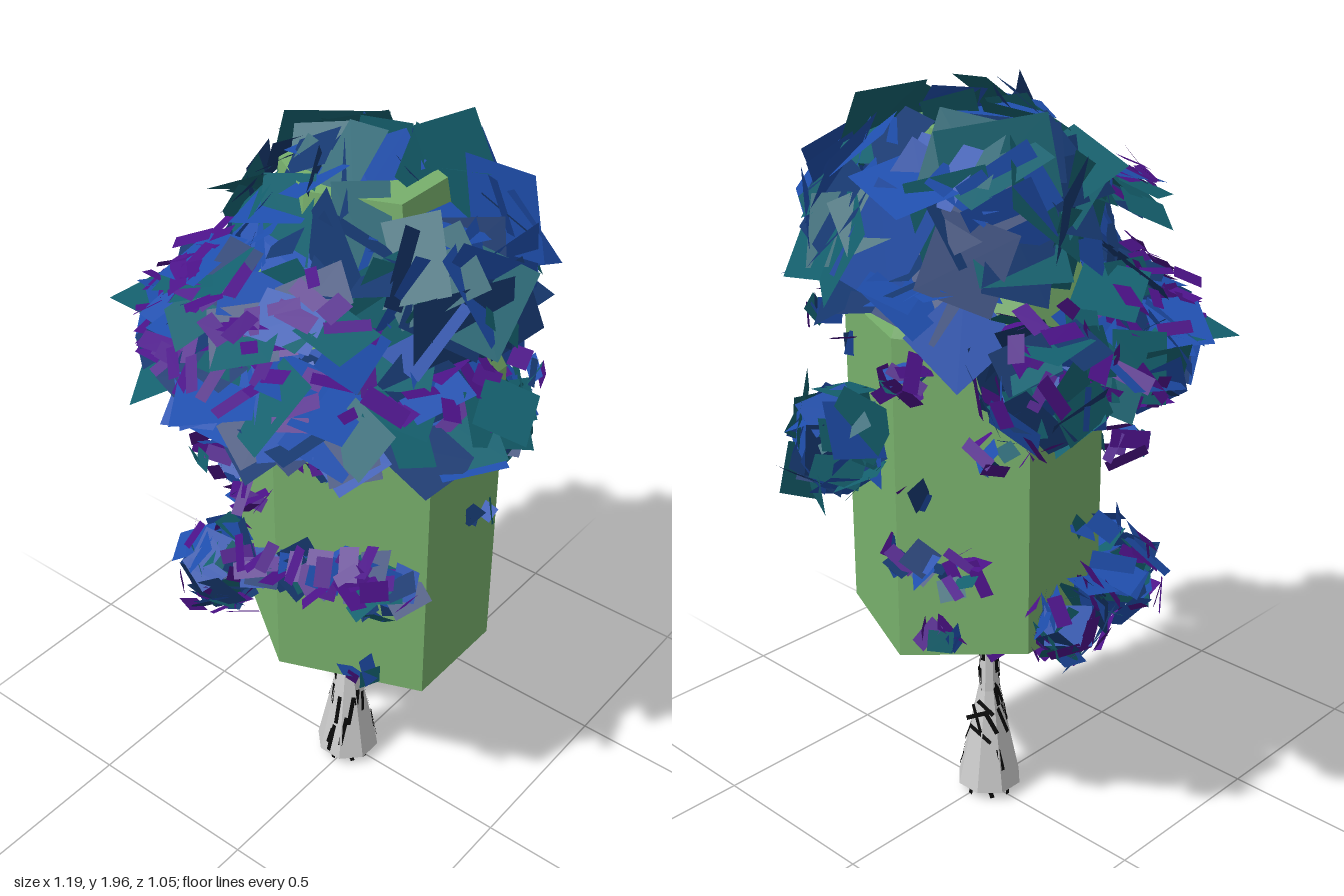
import * as THREE from 'three';
import { mergeGeometries } from 'three/addons/utils/BufferGeometryUtils.js';

const material = (color, side = THREE.FrontSide) =>
  new THREE.MeshStandardMaterial({ color, side, flatShading: true });
const foliage = {
  blue: material(0x1f4fae, THREE.DoubleSide),
  teal: material(0x14606e, THREE.DoubleSide),
  navy: material(0x16386f, THREE.DoubleSide),
  purple: material(0x4c1288, THREE.DoubleSide),
};
const V = (x, y, z) => new THREE.Vector3(x, y, z);

// Small seeded generator
let seed = 7;
const rnd = (a = 0, b = 1) => {
  seed = (seed * 16807) % 2147483647;
  return a + (b - a) * (seed / 2147483647);
};
const jitter = (r) => V(rnd(-r, r), rnd(-r, r), rnd(-r, r));

// Flat-shaded solid skinned over rings of corners, closed at both ends
function loft(rings) {
  const pos = [];
  const tri = (...pts) => pts.forEach((p) => pos.push(p.x, p.y, p.z));
  const centre = (ring) =>
    ring.reduce((s, p) => s.add(p), V(0, 0, 0)).divideScalar(ring.length);
  const n = rings[0].length;
  const last = rings[rings.length - 1];
  for (let i = 0; i < n; i++) {
    const j = (i + 1) % n;
    for (let k = 0; k + 1 < rings.length; k++) {
      const lo = rings[k], up = rings[k + 1];
      tri(lo[i], lo[j], up[j]);
      tri(lo[i], up[j], up[i]);
    }
    tri(centre(last), last[i], last[j]);
    tri(centre(rings[0]), rings[0][j], rings[0][i]);
  }
  const g = new THREE.BufferGeometry();
  g.setAttribute('position', new THREE.Float32BufferAttribute(pos, 3));
  g.computeVertexNormals();
  return g;
}

// One flat card at p, facing along n
function card(p, n, w, h, roll) {
  const g = new THREE.PlaneGeometry(w, h);
  g.rotateZ(roll);
  g.applyQuaternion(new THREE.Quaternion().setFromUnitVectors(V(0, 0, 1), n.clone().normalize()));
  return g.translate(p.x, p.y, p.z);
}

// Group of leaves: large cards in blues, with small purple ones lying outside them
function leaves(name, place, { large = 0, size = 0.18, purple = 0, tilt = 0.5, lift = 0.03 }) {
  const sets = { blue: [], teal: [], navy: [], purple: [] };
  for (let i = 0; i < large + purple; i++) {
    const small = i >= large;
    const { p, n } = place();
    const dir = n.normalize().clone().add(jitter(tilt));
    const w = small ? rnd(0.06, 0.11) : size * rnd(0.65, 1.15);
    const h = small ? rnd(0.025, 0.05) : size * rnd(0.55, 0.95);
    if (small) p.addScaledVector(n, lift);
    const pick = rnd();
    const key = small ? 'purple' : pick < 0.5 ? 'blue' : pick < 0.78 ? 'teal' : 'navy';
    sets[key].push(card(p, dir, w, h, rnd(0, Math.PI)));
  }
  const group = new THREE.Group();
  group.name = name;
  for (const [key, list] of Object.entries(sets)) {
    if (!list.length) continue;
    const mesh = new THREE.Mesh(mergeGeometries(list), foliage[key]);
    mesh.name = key + 'Leaves';
    group.add(mesh);
  }
  return group;
}

// Placement rules: ellipsoid clump, straight row, arc around the body, dome over the top
const clump = (c, r) => () => {
  const d = jitter(1).normalize();
  return { p: d.clone().multiply(r).multiplyScalar(rnd(0.55, 1)).add(c), n: d };
};
const row = (a, b, r) => () => ({
  p: a.clone().lerp(b, rnd()).add(jitter(r)), n: V((a.x + b.x) / 2, 0.35, (a.z + b.z) / 2),
});
const arc = (a0, a1, rx, rz, y0, y1) => () => {
  const a = rnd(a0, a1), t = rnd(), k = 0.68 + 0.32 * t;
  const y = y1 + (y0 - y1) * t + rnd(-0.05, 0.05);
  return { p: V(Math.sin(a) * rx * k, y, Math.cos(a) * rz * k), n: V(Math.sin(a) * 0.5, 0.9, Math.cos(a) * 0.5) };
};
const dome = (c, r, t0, t1) => () => {
  const a = rnd(0, Math.PI * 2), t = Math.acos(rnd(Math.cos(t1), Math.cos(t0)));
  const d = V(Math.sin(t) * Math.sin(a), Math.cos(t), Math.sin(t) * Math.cos(a));
  return { p: d.clone().multiply(r).multiplyScalar(rnd(0.85, 1)).add(c), n: d };
};

export function createModel() {
  const model = new THREE.Group();
  model.name = 'tree';
  const add = (name, geometry, mat) => {
    const mesh = new THREE.Mesh(geometry, mat);
    mesh.name = name;
    model.add(mesh);
  };

  // Six-sided green core: straight sides, tapered shoulders, flat top
  const hex = [[-0.02, 0.28], [0.34, 0.135], [0.34, -0.16], [0.01, -0.305], [-0.29, -0.15], [-0.29, 0.11]];
  const ring = (y, s) => hex.map(([x, z]) => V(x * s, y, z * s));
  const base = ring(0.54, 1);
  base[4].y = base[5].y = 0.6;
  add('core', loft([base, ring(1.39, 1), ring(1.62, 0.68), ring(1.86, 0.57)]), material(0x78b06c));

  // Flared eight-sided trunk, open at the foot
  const profile = [[0.09, 0.03], [0.055, 0.2], [0.03, 0.32], [0.024, 0.42], [0.026, 0.58]];
  const trunk = new THREE.LatheGeometry(profile.map(([r, y]) => new THREE.Vector2(r, y)), 8, Math.PI / 8);
  add('trunk', trunk.translate(-0.01, 0, 0), material(0xcccccc, THREE.DoubleSide));

  // Dark bark flakes following the trunk's flare
  const flakes = [];
  for (let i = 0; i < 40; i++) {
    const a = i * 2.4, y = rnd(0.09, 0.52);
    const r = y < 0.32 ? 0.03 + (0.32 - y) * 0.2 : 0.027;
    const n = V(Math.sin(a), y < 0.32 ? 0.2 : 0, Math.cos(a));
    flakes.push(card(V(n.x * r - 0.01, y, n.z * r), n, 0.012, rnd(0.04, 0.1), rnd(-0.2, 0.2)));
  }
  for (let i = 0; i < 8; i++) {
    const a = i * 0.785, n = V(Math.sin(a), 0, Math.cos(a));
    flakes.push(card(V(n.x * 0.07 - 0.01, 0.03, n.z * 0.07), n, 0.012, 0.055, rnd(-0.3, 0.3)));
  }
  add('barkFlakes', mergeGeometries(flakes), material(0x080808, THREE.DoubleSide));

  // Crown of large leaves, left open over the core's top
  model.add(
    leaves('crown', dome(V(0.03, 1.56, -0.06), V(0.39, 0.34, 0.36), 0.5, 1.4), { large: 95, size: 0.23, tilt: 0.5 }),
    leaves('crownTop', dome(V(0, 1.57, -0.02), V(0.34, 0.36, 0.3), 0.15, 0.6), { large: 14, size: 0.16, tilt: 1 }),
    leaves('crownBack', arc(2.2, 3.9, 0.38, 0.42, 1.46, 1.62), { large: 20, size: 0.19 }),
  );

  // Drooping skirt around the front and sides, and a smaller tier above it
  model.add(
    leaves('skirt', arc(-1.7, 1.5, 0.53, 0.44, 1.41, 1.5), { large: 70, size: 0.2, purple: 75, tilt: 0.4 }),
    leaves('upperTier', arc(-0.8, 0.8, 0.38, 0.44, 1.64, 1.69), { large: 20, size: 0.17, purple: 32, tilt: 0.3 }),
    leaves('rightSkirtEnd', clump(V(-0.41, 1.38, -0.24), V(0.15, 0.14, 0.14)), { large: 34, size: 0.16, purple: 30 }),
    leaves('rightSkirtFringe', clump(V(-0.46, 1.36, 0.02), V(0.1, 0.1, 0.16)), { large: 16, size: 0.15, purple: 12 }),
  );

  // Clumps and rows lower on the core
  model.add(
    leaves('backClump', clump(V(0.17, 1.1, -0.35), V(0.13, 0.14, 0.1)), { large: 36, size: 0.15, purple: 2 }),
    leaves('lowClump', clump(V(-0.27, 0.69, 0.19), V(0.11, 0.12, 0.13)), { large: 44, size: 0.12, purple: 28 }),
    leaves('lowSideClump', clump(V(-0.34, 0.67, -0.04), V(0.07, 0.11, 0.11)), { large: 24, size: 0.11, purple: 18 }),
    leaves('frontRow', row(V(-0.05, 0.92, 0.35), V(0.33, 0.92, 0.2), 0.04), { large: 30, size: 0.1, purple: 26, tilt: 0.8, lift: 0.04 }),
    leaves('backRow', row(V(0, 0.82, -0.32), V(-0.2, 0.82, -0.23), 0.04), { large: 14, size: 0.08, purple: 10, tilt: 0.8, lift: 0.02 }),
  );

  // Sprigs: x, y, z, radius, number of large leaves, number of purple leaves
  const sprigs = [
    [-0.28, 1.06, 0.2, 0.06, 5, 5], [-0.08, 1.08, 0.3, 0.04, 1, 6],
    [0.15, 1.28, 0.27, 0.07, 8, 8], [-0.2, 1.28, 0.25, 0.06, 4, 8],
    [0.24, 0.81, 0.19, 0.04, 6, 1], [0.2, 0.6, 0.2, 0.05, 5, 1],
    [0.36, 1.28, 0.02, 0.04, 3, 4], [0.35, 1.02, -0.06, 0.05, 5, 0],
    [0.35, 1.37, -0.2, 0.06, 6, 2], [0.25, 1.28, -0.21, 0.05, 4, 3],
    [-0.03, 1.3, -0.31, 0.05, 4, 7], [-0.1, 0.62, -0.26, 0.05, 4, 3],
    [-0.05, 1.0, -0.29, 0.04, 3, 1], [-0.34, 0.9, 0.06, 0.06, 8, 1],
    [-0.23, 1.13, -0.2, 0.06, 6, 6], [-0.15, 0.57, -0.1, 0.05, 2, 4],
  ];
  sprigs.forEach(([x, y, z, r, large, purple]) =>
    model.add(leaves('sprig', clump(V(x, y, z), V(r, r * 0.6, r)), { large, size: 0.07, purple, lift: 0.01 })));

  return model;
}
